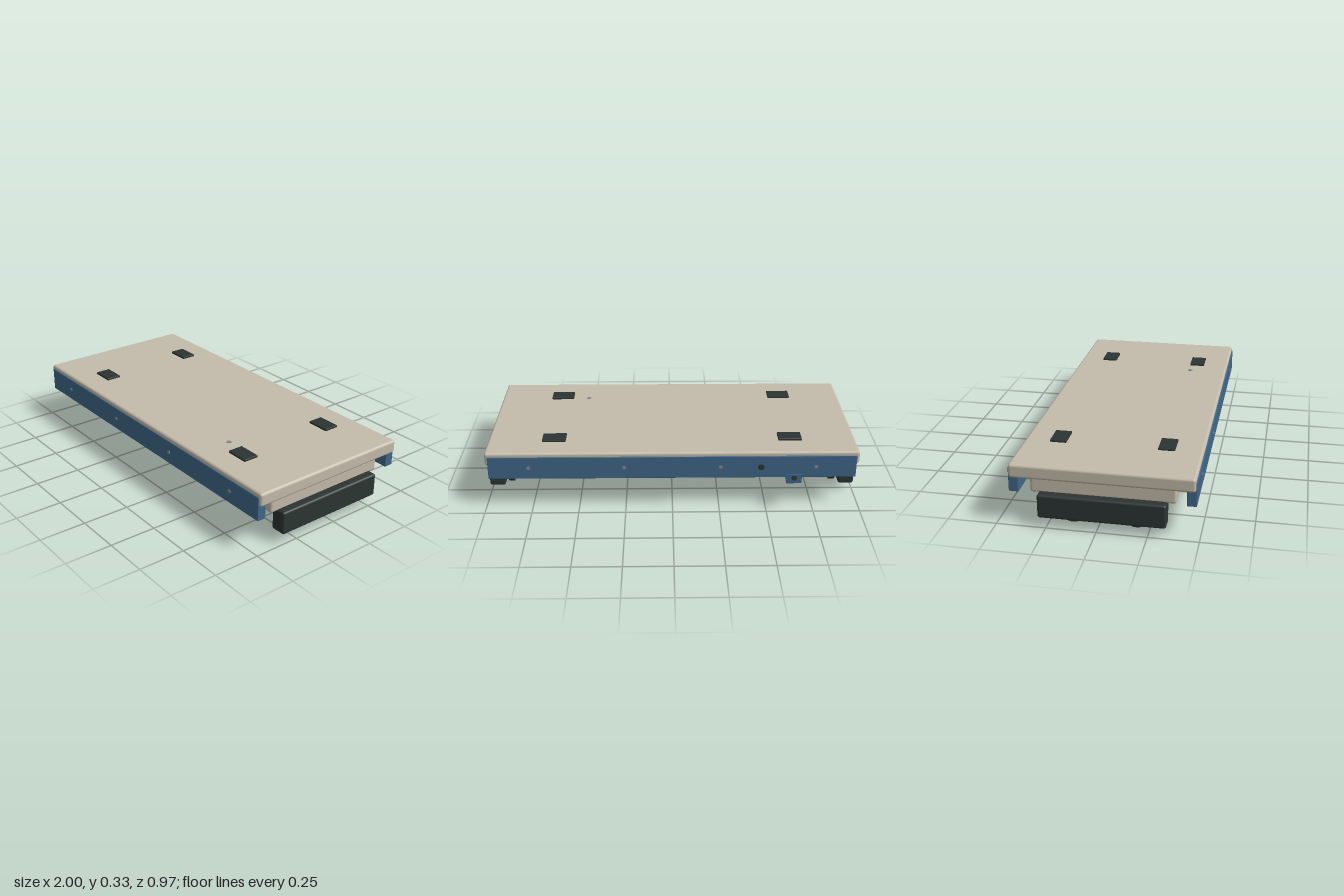
import * as THREE from 'three';
import { RoundedBoxGeometry } from 'three/addons/geometries/RoundedBoxGeometry.js';

export function createModel() {
  const model = new THREE.Group();
  model.name = 'rollerPlatform';

  const material = (name, color) => {
    const m = new THREE.MeshStandardMaterial({ color });
    m.name = name;
    return m;
  };
  const cream = material('cream', 0xc4bbaa);
  const blue = material('blue', 0x40688a);
  const rubber = material('rubber', 0x2c3533);
  const steel = material('steel', 0x85878c);

  const add = (name, geometry, mat, x, y, z) => {
    const mesh = new THREE.Mesh(geometry, mat);
    mesh.name = name;
    mesh.position.set(x, y, z);
    model.add(mesh);
    return mesh;
  };

  // Box given by its extents, with rounded edges when r > 0
  const block = (name, mat, [x0, x1], [y0, y1], [z0, z1], r = 0) => {
    const size = [x1 - x0, y1 - y0, z1 - z0];
    const geometry = r ? new RoundedBoxGeometry(...size, 3, r) : new THREE.BoxGeometry(...size);
    return add(name, geometry, mat, (x0 + x1) / 2, (y0 + y1) / 2, (z0 + z1) / 2);
  };

  // Cylinders lying along x or z
  const rod = (name, mat, axis, radius, length, x, y, z, sides = 32) => {
    const geometry = new THREE.CylinderGeometry(radius, radius, length, sides);
    if (axis === 'x') geometry.rotateZ(Math.PI / 2);
    if (axis === 'z') geometry.rotateX(Math.PI / 2);
    return add(name, geometry, mat, x, y, z);
  };

  // Deck and the body beneath it
  block('deck', cream, [-0.99, 0.99], [0.25, 0.322], [-0.432, 0.476], 0.014);
  block('body', cream, [-0.955, 0.955], [0.165, 0.252], [-0.335, 0.382], 0.014);

  // Side rails
  block('frontRail', blue, [-0.975, 0.975], [0.172, 0.3], [0.433, 0.481], 0.004);
  block('backRail', blue, [-0.975, 0.975], [0.172, 0.3], [-0.436, -0.386], 0.004);
  for (const x of [-0.76, -0.255, 0.255, 0.76]) {
    rod('frontScrew', steel, 'z', 0.01, 0.006, x, 0.237, 0.481, 16);
    rod('backScrew', steel, 'z', 0.01, 0.006, x, 0.237, -0.436, 16);
  }

  // Socket and pedal bracket on the back
  rod('backSocket', rubber, 'z', 0.017, 0.008, -0.47, 0.235, -0.436, 24);
  block('pedalPlate', blue, [-0.68, -0.6], [0.163, 0.169], [-0.484, -0.42]);
  block('pedalLip', blue, [-0.68, -0.6], [0.165, 0.215], [-0.484, -0.478]);
  rod('pedalStud', rubber, 'z', 0.014, 0.005, -0.64, 0.195, -0.4845, 16);

  // Top pads and small cap
  for (const x of [-0.635, 0.635])
    for (const z of [-0.258, 0.293])
      block('topPad', rubber, [x - 0.063, x + 0.063], [0.318, 0.333], [z - 0.042, z + 0.042], 0.003);
  rod('deckCap', steel, 'y', 0.013, 0.003, 0.483, 0.3225, 0.262, 20);

  // End bumpers
  block('leftBumper', rubber, [0.915, 1], [0.051, 0.175], [-0.292, 0.339], 0.012);
  block('rightBumper', rubber, [-1, -0.915], [0.051, 0.175], [-0.292, 0.339], 0.012);

  // Long rollers with steel collars and rubber wheels
  for (const z of [0.182, -0.135]) {
    rod('roller', cream, 'x', 0.048, 1.66, 0, 0.065, z);
    for (const s of [-1, 1]) {
      rod('rollerCollar', steel, 'x', 0.05, 0.064, s * 0.858, 0.065, z);
      rod('rollerWheel', rubber, 'x', 0.063, 0.028, s * 0.901, 0.063, z);
      rod('axle', steel, 'x', 0.015, 0.03, s * 0.92, 0.063, z, 16);
    }
  }

  return model;
}
